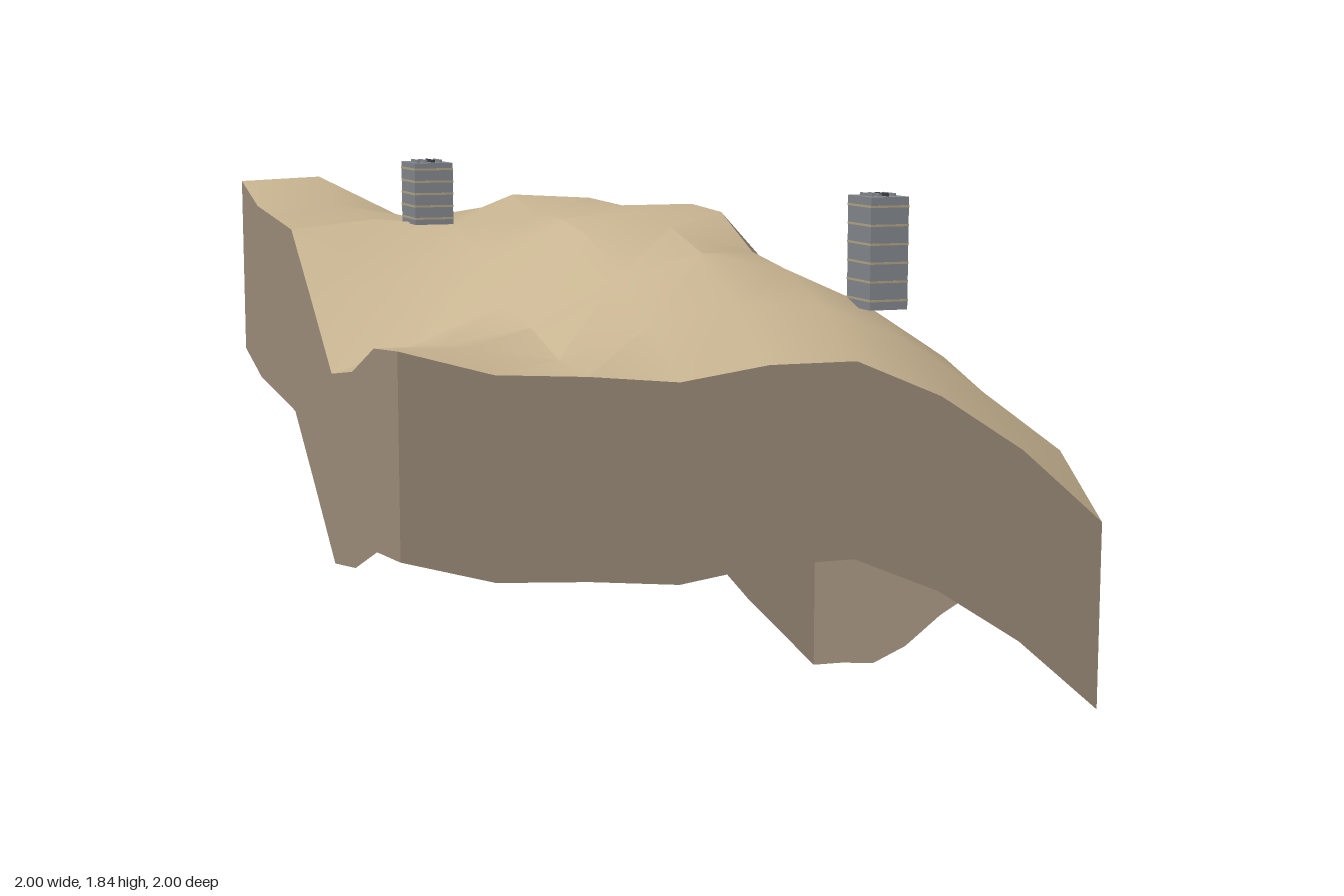
import * as THREE from 'three';
import { toCreasedNormals } from 'three/addons/utils/BufferGeometryUtils.js';

// Terrain heights: rows run from back (z = -1) to front (z = 1), columns from x = -1 to x = 1
const H = [
  [1.745, 1.755, 1.63, 1.53, 1.41, 1.27, 1.08, 0.79, 0.535],
  [1.68, 1.68, 1.63, 1.665, 1.60, 1.49, 1.28, 0.92, 0.60],
  [1.66, 1.65, 1.62, 1.715, 1.70, 1.64, 1.39, 0.98, 0.655],
  [1.64, 1.665, 1.64, 1.67, 1.69, 1.69, 1.39, 1.03, 0.77],
  [1.46, 1.50, 1.57, 1.67, 1.69, 1.68, 1.41, 1.14, 0.925],
  [1.275, 1.35, 1.45, 1.635, 1.655, 1.58, 1.45, 1.25, 1.055],
  [1.31, 1.37, 1.41, 1.54, 1.60, 1.55, 1.44, 1.28, 1.07],
  [1.40, 1.39, 1.35, 1.43, 1.48, 1.47, 1.37, 1.21, 1.03],
  [1.42, 1.35, 1.335, 1.31, 1.345, 1.345, 1.24, 1.08, 0.865],
];
const N = 8, STEP = 0.25, SKIRT = 0.535;
const point = (i, j) => [-1 + i * STEP, H[j][i], -1 + j * STEP];

// Which half-cells are bare rock; half 0 is the back-left triangle, half 1 the front-right one
function isRock(i, j, half) {
  if (i < 5) return false;
  if (i === 5) {
    if (j === 0) return true;
    if (j === 2) return half === 1;
    return (j === 3 || j === 4) && half === 0;
  }
  if (i === 6) return j <= 3;
  return j <= 1 || (j === 2 && half === 0);
}

function fromTriangles(positions) {
  const geo = new THREE.BufferGeometry();
  geo.setAttribute('position', new THREE.Float32BufferAttribute(positions, 3));
  geo.computeVertexNormals();
  return geo;
}

// Hill surface with a sand group and a rock group
function hillGeometry() {
  const sand = [], rock = [];
  for (let j = 0; j < N; j++) {
    for (let i = 0; i < N; i++) {
      const a = point(i, j), b = point(i + 1, j);
      const c = point(i, j + 1), d = point(i + 1, j + 1);
      (isRock(i, j, 0) ? rock : sand).push(...a, ...c, ...b);
      (isRock(i, j, 1) ? rock : sand).push(...b, ...c, ...d);
    }
  }
  const geo = toCreasedNormals(fromTriangles([...sand, ...rock]), 0.5);
  geo.clearGroups();
  geo.addGroup(0, sand.length / 3, 0);
  geo.addGroup(sand.length / 3, rock.length / 3, 1);
  return geo;
}

// Vertical cut wall hanging from one edge of the hill
function wallGeometry(edge) {
  const out = [];
  for (let k = 0; k < N; k++) {
    const p = edge(k), q = edge(k + 1);
    const pl = [p[0], p[1] - SKIRT, p[2]], ql = [q[0], q[1] - SKIRT, q[2]];
    out.push(...pl, ...ql, ...q, ...pl, ...q, ...p);
  }
  return fromTriangles(out);
}

export function createModel() {
  const model = new THREE.Group();
  const material = (name, color, side = THREE.FrontSide) => {
    const m = new THREE.MeshStandardMaterial({ color, side });
    m.name = name;
    return m;
  };
  const sand = material('sand', 0xc8b491, THREE.DoubleSide);
  const rock = material('rock', 0xa08f7d, THREE.DoubleSide);
  const concrete = material('concrete', 0x858a90);
  const trim = material('tan trim', 0xb5a685);
  const dark = material('dark metal', 0x3a3e43);

  const add = (parent, name, geo, mat, x = 0, y = 0, z = 0) => {
    const mesh = new THREE.Mesh(geo, mat);
    mesh.name = name;
    mesh.position.set(x, y, z);
    parent.add(mesh);
    return mesh;
  };

  add(model, 'hillSurface', hillGeometry(), [sand, rock]);

  // Cut walls, open underneath
  const edges = {
    frontWall: k => point(k, N),
    leftWall: k => point(N, N - k),
    backWall: k => point(N - k, 0),
    rightWall: k => point(0, k),
  };
  for (const [name, edge] of Object.entries(edges)) add(model, name, wallGeometry(edge), rock);

  // Towers: block, floor bands and low roof fins
  const W = 0.115, D = 0.157;
  function tower(name, x, base, z, height, floors) {
    const g = new THREE.Group();
    g.name = name;
    g.position.set(x, base, z);
    add(g, 'towerBlock', new THREE.BoxGeometry(W, height, D), concrete, 0, height / 2, 0);
    const pitch = height / floors;
    for (let f = 0; f < floors; f++) {
      add(g, 'floorBand', new THREE.BoxGeometry(W + 0.002, 0.006, D + 0.002), trim, 0, (f + 0.5) * pitch, 0);
    }
    for (let k = 0; k < 4; k++) {
      add(g, 'roofFin', new THREE.BoxGeometry(0.007, 0.008, 0.08), k === 2 ? dark : concrete,
        -0.035 + k * 0.0225, height + 0.004, 0);
    }
    model.add(g);
  }
  tower('lowTower', -0.588, 1.65, -0.253, 0.18, 5);
  tower('tallTower', 0.498, 1.44, 0.58, 0.315, 6);

  return model;
}
